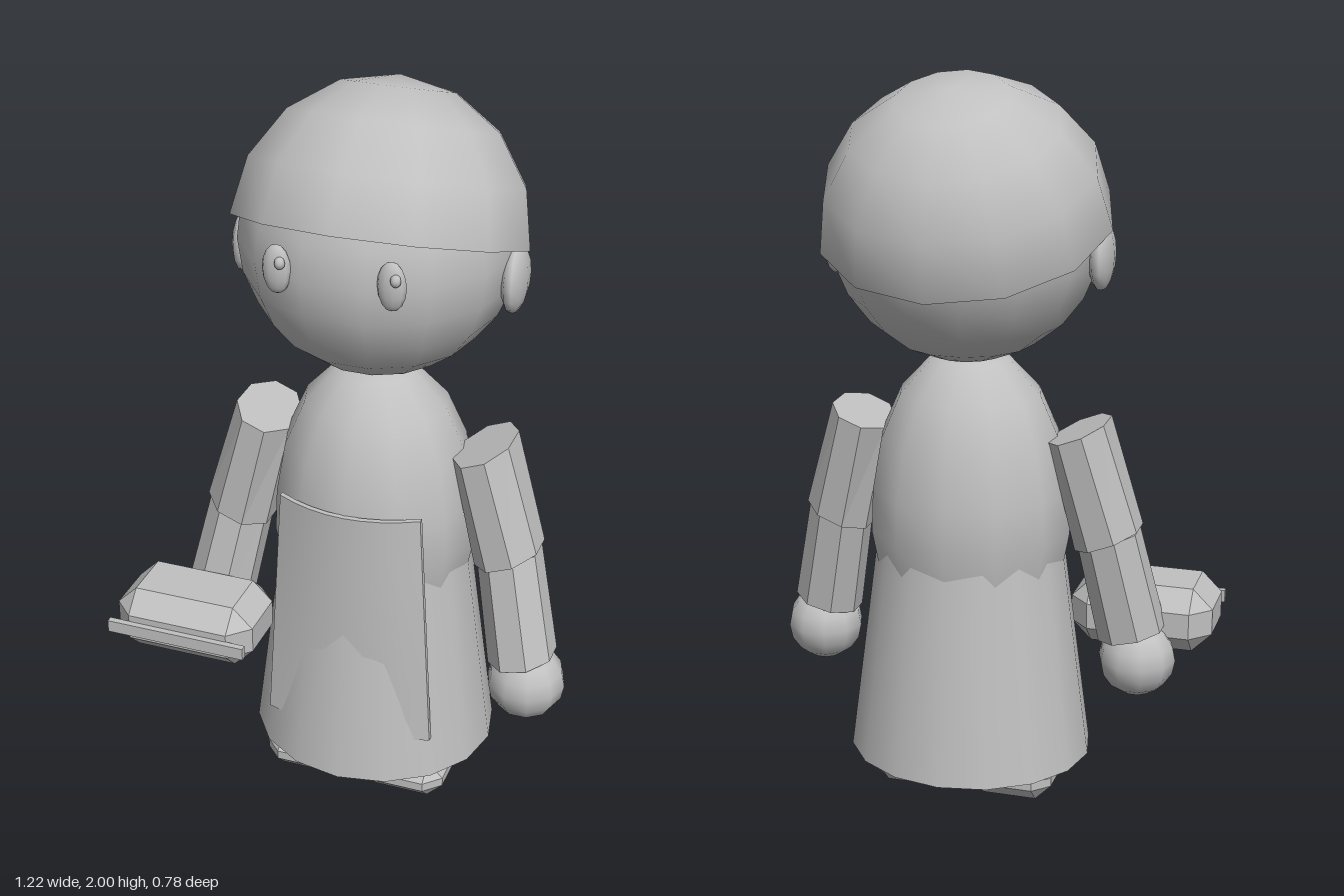
import * as THREE from 'three';
import { ConvexGeometry } from 'three/addons/geometries/ConvexGeometry.js';

const grey = new THREE.MeshStandardMaterial({ color: 0xc0c0c0 });
grey.name = 'plain grey';
grey.side = THREE.DoubleSide;

const CX = 0.04; // body's centre line
const CZ = 0.035;

export function createModel() {
  const model = new THREE.Group();

  function add(name, geometry, x = 0, y = 0, z = 0) {
    const mesh = new THREE.Mesh(geometry, grey);
    mesh.name = name;
    mesh.position.set(x, y, z);
    model.add(mesh);
    return mesh;
  }

  // Ellipsoid with the given half sizes
  function ball(name, x, y, z, rx, ry, rz, w = 12, h = 8) {
    return add(name, new THREE.SphereGeometry(1, w, h).scale(rx, ry, rz), x, y, z);
  }

  // Box with every edge chamfered by c
  function chamferBox(hx, hy, hz, c) {
    const points = [];
    for (const i of [-1, 1]) for (const j of [-1, 1]) for (const k of [-1, 1]) {
      points.push(
        new THREE.Vector3(i * hx, j * (hy - c), k * (hz - c)),
        new THREE.Vector3(i * (hx - c), j * hy, k * (hz - c)),
        new THREE.Vector3(i * (hx - c), j * (hy - c), k * hz));
    }
    return new ConvexGeometry(points);
  }

  // Eight-sided limb between two elliptical ends: [x, y, z, rx, rz]
  function limb(name, side, bottom, top, slope) {
    const g = new THREE.CylinderGeometry(1.08, 1.08, 1, 8, 1, false, Math.PI / 8).toNonIndexed();
    const p = g.attributes.position;
    for (let i = 0; i < p.count; i++) {
      const t = p.getY(i) + 0.5;
      const [x, y, z, rx, rz] = bottom.map((b, k) => THREE.MathUtils.lerp(b, top[k], t));
      const dx = p.getX(i) * rx;
      p.setXYZ(i, CX + side * x + dx, y + side * slope * dx, z + p.getZ(i) * rz);
    }
    g.computeVertexNormals();
    add(name, g);
  }

  // Head and tilted cap of hair
  ball('head', CX, 1.608, 0.008, 0.365, 0.365, 0.365, 14, 12);
  const hair = add('hair',
    new THREE.SphereGeometry(0.392, 12, 4, 0, Math.PI * 2, 0, Math.PI / 2), CX, 1.612, 0);
  hair.rotation.x = -0.352;

  // Torso
  const profile = [[0.2, 0.45], [0.25, 0.6], [0.28, 0.76], [0.275, 0.88], [0.25, 1.02],
    [0.195, 1.145], [0.106, 1.24], [0, 1.255]].map(([r, y]) => new THREE.Vector2(r, y));
  add('torso', new THREE.LatheGeometry(profile, 12).scale(1, 1, 0.93), CX, 0, CZ);

  // Skirt
  add('skirt', new THREE.CylinderGeometry(0.255, 0.34, 0.65, 16).scale(1, 1, 0.93),
    CX, 0.435, CZ);

  // Curved apron, wider at the hem
  const apron = new THREE.BoxGeometry(2, 0.69, 0.015, 8, 4, 1);
  const a = apron.attributes.position;
  for (let i = 0; i < a.count; i++) {
    const t = a.getY(i) / 0.69 + 0.5;
    const u = a.getX(i);
    const edge = 0.25 - 0.014 * t;
    const z = edge + (0.29 - edge) * (1 - u * u);
    a.setXYZ(i, u * (0.235 - 0.04 * t), 0.23 + 0.69 * t, z + a.getZ(i));
  }
  apron.computeVertexNormals();
  add('apron', apron, CX);

  // Paired parts
  for (const s of [-1, 1]) {
    const side = s > 0 ? 'left' : 'right';
    ball(side + 'Ear', CX + s * 0.362, 1.54, 0.015, 0.032, 0.09, 0.086, 10, 8);
    ball(side + 'Eye', CX + s * 0.148, 1.63, 0.345, 0.038, 0.065, 0.022, 10, 8);
    ball(side + 'Pupil', CX + s * 0.148 + 0.016, 1.655, 0.364, 0.014, 0.016, 0.014, 8, 6);
    limb(side + 'UpperArm', s, [0.385, 0.755, 0.055, 0.085, 0.1], [0.305, 1.06, 0.037, 0.075, 0.12], 0.4);
    limb(side + 'Forearm', s, [0.445, 0.465, 0.1, 0.086, 0.09], [0.385, 0.76, 0.055, 0.08, 0.086], 0.25);
    ball(side + 'Hand', CX + s * 0.46, 0.39, 0.105, 0.108, 0.106, 0.108, 10, 8);
    add(side + 'Shoe', chamferBox(0.12, 0.0575, 0.183, 0.045), CX + s * 0.141, 0.0575, 0.073);
  }

  // Carried case with a thin strip on its front
  add('case', chamferBox(0.2, 0.0925, 0.1275, 0.056), -0.415, 0.4875, 0.2475);
  add('caseStrip', new THREE.BoxGeometry(0.4, 0.035, 0.018), -0.415, 0.4875, 0.383);

  return model;
}
